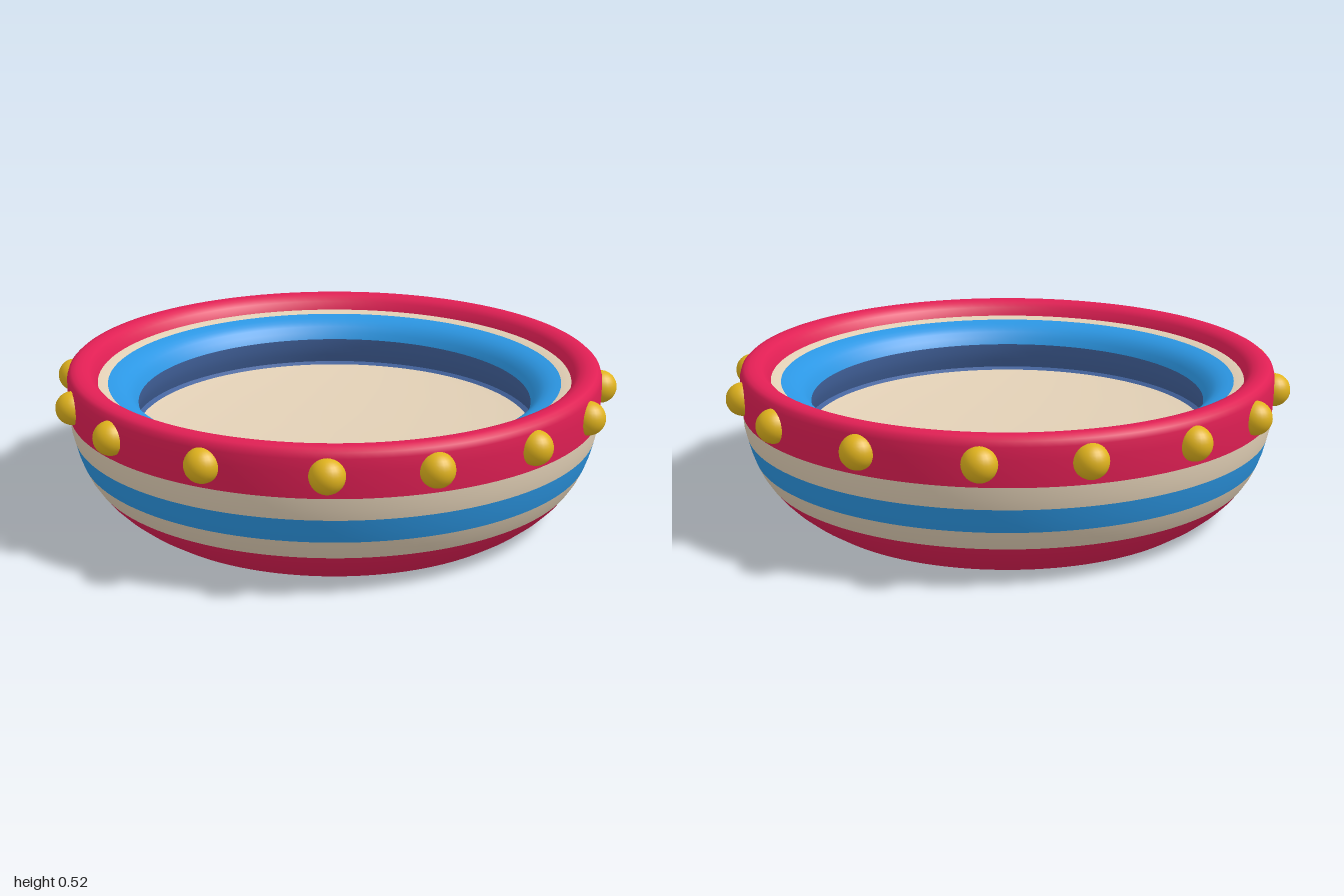
import * as THREE from 'three';

const paint = (name, color) => {
  const m = new THREE.MeshStandardMaterial({ color });
  m.name = name;
  return m;
};

export function createModel() {
  const crimson = paint('crimson', 0xe01f54);
  const beige = paint('beige', 0xe2d0b6);
  const blue = paint('blue', 0x2c97e4);
  const slate = paint('slate blue', 0x42629c);
  const gold = paint('gold', 0xe0b31d);

  const bowl = new THREE.Group();
  bowl.name = 'bowl';

  // One coloured band, turned around the y axis from [radius, height] points
  const band = (name, material, points) => {
    const profile = points.map(([r, y]) => new THREE.Vector2(r, y));
    const mesh = new THREE.Mesh(new THREE.LatheGeometry(profile, 128), material);
    mesh.name = name;
    bowl.add(mesh);
  };

  // Outside, from the base up
  band('base', beige, [[0, 0], [0.72, 0]]);
  band('lowerBody', crimson, [[0.72, 0], [0.77, 0.033], [0.811, 0.067], [0.843, 0.1], [0.866, 0.13]]);
  band('lowerStripe', beige, [[0.866, 0.13], [0.887, 0.163], [0.904, 0.2]]);
  band('blueStripe', blue, [[0.904, 0.2], [0.918, 0.24], [0.929, 0.284]]);
  band('upperStripe', beige, [[0.929, 0.284], [0.937, 0.32], [0.94, 0.36]]);

  // Rounded rim, over the top and down to the inner lip
  band('rim', crimson, [
    [0.94, 0.36], [0.943, 0.4], [0.944, 0.45], [0.943, 0.49], [0.937, 0.509], [0.926, 0.519], [0.91, 0.523],
    [0.89, 0.522], [0.868, 0.515], [0.85, 0.499], [0.838, 0.467],
  ]);

  // Inside: flat lip, rounded ledge, undercut wall and shallow dished floor
  band('innerLip', beige, [[0.838, 0.467], [0.82, 0.464], [0.803, 0.459]]);
  band('innerLedge', blue, [
    [0.803, 0.459], [0.785, 0.456], [0.765, 0.451], [0.745, 0.442], [0.726, 0.428], [0.71, 0.407], [0.699, 0.383],
  ]);
  band('innerWall', slate, [[0.699, 0.383], [0.702, 0.35], [0.712, 0.315], [0.724, 0.284]]);
  band('wallFoot', slate, [[0.724, 0.284], [0.708, 0.275]]);
  band('floor', beige, [[0.708, 0.275], [0.66, 0.268], [0.5, 0.253], [0.25, 0.241], [0.002, 0.238], [0, 0.238]]);

  // Studs around the rim, mirrored front to back and left to right
  const studShape = new THREE.SphereGeometry(0.058, 24, 16);
  const addStud = (degrees) => {
    const a = THREE.MathUtils.degToRad(degrees);
    const stud = new THREE.Mesh(studShape, gold);
    stud.name = 'stud';
    stud.position.set(0.942 * Math.sin(a), 0.436, 0.942 * Math.cos(a));
    bowl.add(stud);
  };
  [0, 90, 180, 270].forEach(addStud);
  for (const d of [24.4, 45.3, 68.4]) [d, -d, 180 - d, 180 + d].forEach(addStud);

  return bowl;
}
